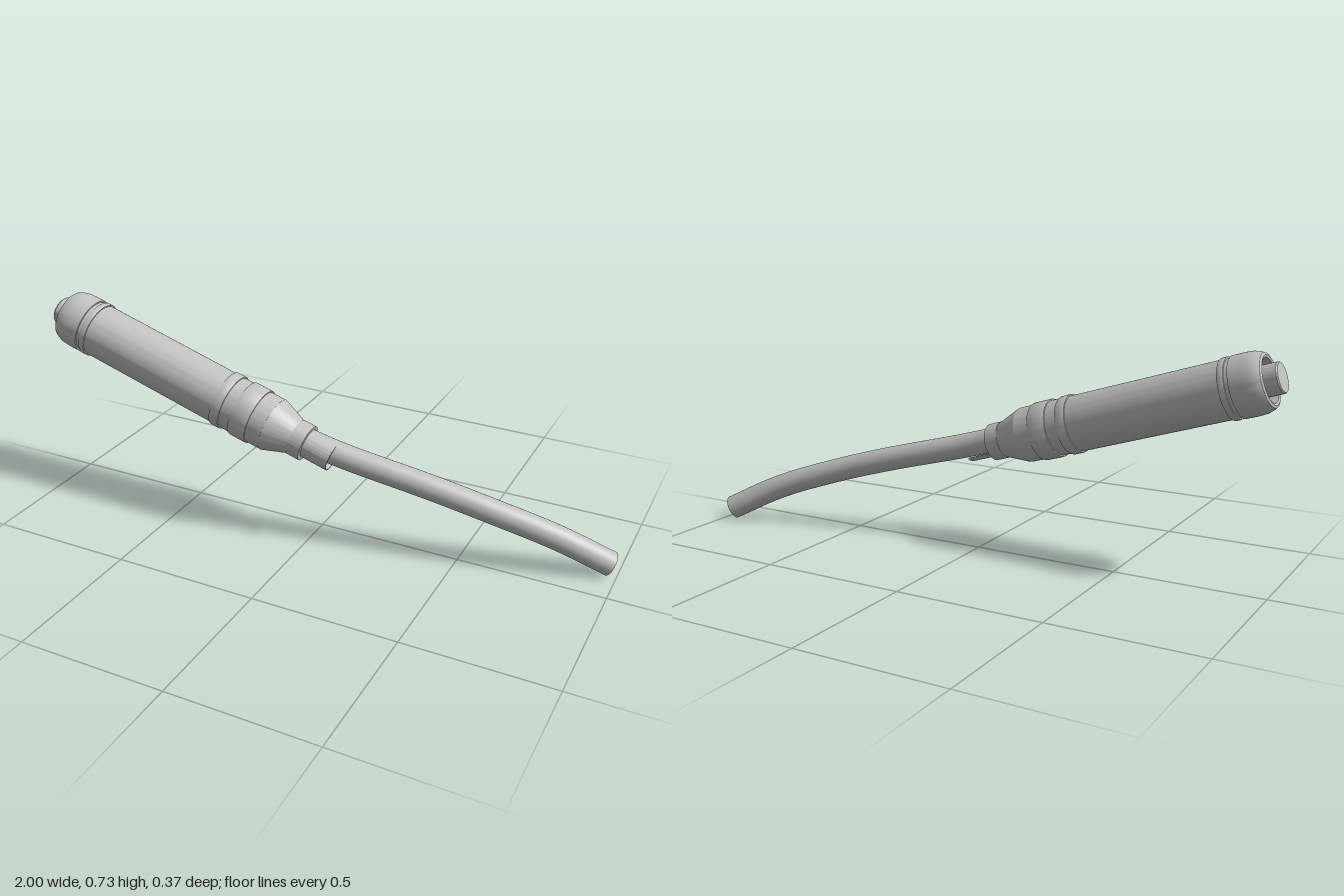
import * as THREE from 'three';
import { toCreasedNormals } from 'three/addons/utils/BufferGeometryUtils.js';

const CABLE_RADIUS = 0.042;

export function createModel() {
  const model = new THREE.Group();
  const grey = new THREE.MeshStandardMaterial({ color: 0xc0c0c0 });
  grey.name = 'grey';

  // The connector runs along its own +y, from plug tip to cable sleeve.
  const connector = new THREE.Group();
  connector.name = 'connector';
  connector.position.set(-0.985, 0.668, 0.085);
  connector.rotation.z = THREE.MathUtils.degToRad(-107.5);
  model.add(connector);

  // Turned part from [radius, distance along the axis] pairs.
  function turned(name, profile, phiStart = 0, phiLength = Math.PI * 2) {
    const points = profile.map(([r, s]) => new THREE.Vector2(r, s));
    const geometry = new THREE.LatheGeometry(points, 64, phiStart, phiLength);
    const mesh = new THREE.Mesh(toCreasedNormals(geometry, 0.45), grey);
    mesh.name = name;
    connector.add(mesh);
    return mesh;
  }

  // Plug tip standing in the recess of the end cap
  turned('plugTip', [[0, 0], [0.046, 0], [0.049, 0.004], [0.049, 0.1]]);

  // Rounded end cap with a recessed mouth
  turned('endCap', [
    [0, 0.09], [0.07, 0.09], [0.07, 0.038], [0.077, 0.035], [0.085, 0.039],
    [0.091, 0.05], [0.096, 0.067], [0.098, 0.09], [0.098, 0.135], [0.092, 0.135],
  ]);

  // Long barrel up to the start of the cone
  turned('barrel', [[0.07, 0.12], [0.093, 0.12], [0.093, 0.885], [0.05, 0.885]]);

  // Raised bands around the barrel
  for (const [name, start, end] of [
    ['frontBand', 0.148, 0.168],
    ['middleBand', 0.69, 0.725],
    ['rearBand', 0.765, 0.83],
  ]) {
    turned(name, [
      [0.09, start], [0.097, start], [0.098, start + 0.003],
      [0.098, end - 0.003], [0.097, end], [0.09, end],
    ]);
  }

  // Tapered rear and neck collar
  turned('taper', [[0.08, 0.883], [0.093, 0.883], [0.09, 0.895], [0.06, 0.975], [0.04, 0.975]]);
  turned('collar', [[0.045, 0.972], [0.063, 0.972], [0.063, 1.02], [0.045, 1.02]]);

  // Hollow sleeve, slotted at the back where the cable leaves
  const slot = THREE.MathUtils.degToRad(45);
  const sleeve = turned('cableSleeve', [
    [0.049, 1.0], [0.049, 1.118], [0.045, 1.118], [0.045, 1.0],
  ], slot - Math.PI, 2 * (Math.PI - slot));
  sleeve.material = grey;
  grey.side = THREE.DoubleSide;

  // Bent cable
  const path = new THREE.CatmullRomCurve3([
    new THREE.Vector3(-0.04, 0.378, 0.085),
    new THREE.Vector3(0.1, 0.338, 0.069),
    new THREE.Vector3(0.4, 0.262, 0.013),
    new THREE.Vector3(0.6, 0.203, -0.029),
    new THREE.Vector3(0.8, 0.132, -0.083),
    new THREE.Vector3(0.975, 0.044, -0.144),
  ]);
  const cable = new THREE.Mesh(new THREE.TubeGeometry(path, 64, CABLE_RADIUS, 40), grey);
  cable.name = 'cable';
  model.add(cable);

  // Flat cut end of the cable
  const cut = new THREE.Mesh(new THREE.CircleGeometry(CABLE_RADIUS, 40), grey);
  cut.name = 'cableEnd';
  cut.position.copy(path.getPoint(1));
  cut.quaternion.setFromUnitVectors(new THREE.Vector3(0, 0, 1), path.getTangent(1));
  model.add(cut);

  return model;
}
